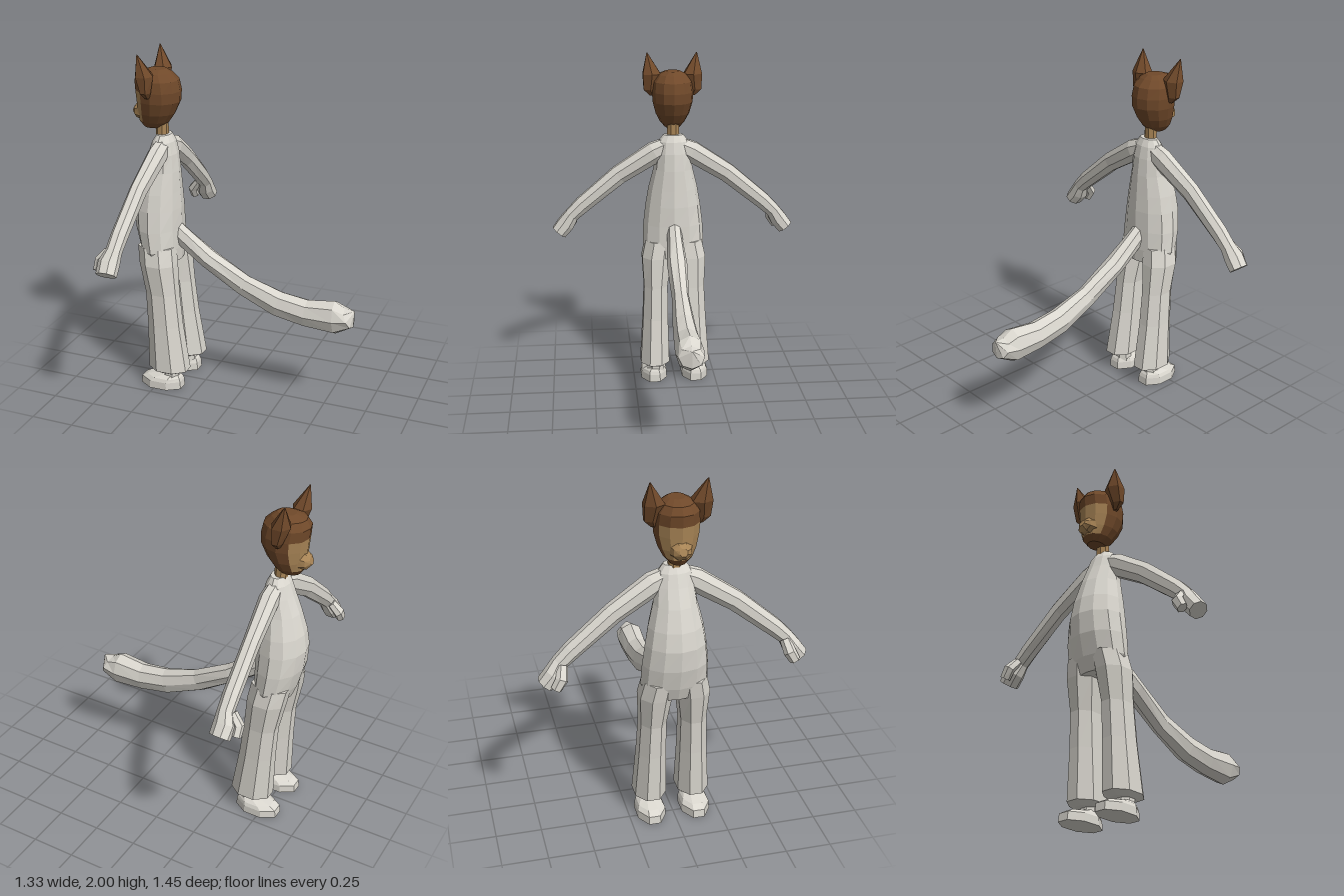
import * as THREE from 'three';

const mat = (name, color) => {
  const m = new THREE.MeshStandardMaterial({ color });
  m.name = name;
  return m;
};

// Points of one cross-section: centre plus two half-axes, flats or corners on the axes
function section(c, u, v, sides, flats) {
  const k = flats ? 1 / Math.cos(Math.PI / sides) : 1;
  return Array.from({ length: sides }, (_, i) => {
    const a = ((i + (flats ? 0.5 : 0)) / sides) * Math.PI * 2;
    return c.clone().addScaledVector(u, Math.cos(a) * k).addScaledVector(v, Math.sin(a) * k);
  });
}

// Level cross-sections from rows of [y, x front, x back, z inner, z outer]
const levels = (rows, sides, flats) => rows.map(([y, x0, x1, z0, z1]) => section(
  new THREE.Vector3((x0 + x1) / 2, y, (z0 + z1) / 2),
  new THREE.Vector3((x1 - x0) / 2, 0, 0),
  new THREE.Vector3(0, 0, (z1 - z0) / 2), sides, flats));

// Cross-sections square to a path, rows of [x, y, z, radius along side, other radius]
function along(rows, side, sides, flats) {
  const pts = rows.map(r => new THREE.Vector3(r[0], r[1], r[2]));
  return rows.map((r, i) => {
    const t = pts[Math.min(i + 1, pts.length - 1)].clone().sub(pts[Math.max(i - 1, 0)]).normalize();
    const u = side.clone().addScaledVector(t, -side.dot(t)).normalize();
    const v = u.clone().cross(t);
    return section(pts[i], u.multiplyScalar(r[3]), v.multiplyScalar(r[4]), sides, flats);
  });
}

// Faceted, capped skin over cross-sections; pick(centre) chooses the material of a face
function skin(name, rings, materials, mirror = false, pick = () => 0) {
  if (mirror) rings = rings.map(r => r.map(p => new THREE.Vector3(p.x, p.y, -p.z)).reverse());
  const faces = materials.map(() => []);
  const tri = (f, a, b, c) => [a, b, c].forEach(p => faces[f].push(p.x, p.y, p.z));
  const n = rings[0].length;
  const middle = r => r.reduce((s, p) => s.add(p), new THREE.Vector3()).divideScalar(r.length);
  for (let j = 0; j < rings.length - 1; j++) {
    for (let i = 0; i < n; i++) {
      const k = (i + 1) % n, p = rings[j], q = rings[j + 1];
      const f = pick(middle([p[i], p[k], q[i], q[k]]));
      tri(f, p[i], q[i], p[k]);
      tri(f, q[i], q[k], p[k]);
    }
  }
  const first = rings[0], last = rings[rings.length - 1];
  for (let i = 0; i < n; i++) {
    const k = (i + 1) % n;
    tri(0, middle(first), first[i], first[k]);
    tri(0, middle(last), last[k], last[i]);
  }
  const g = new THREE.BufferGeometry();
  g.setAttribute('position', new THREE.Float32BufferAttribute(faces.flat(), 3));
  let start = 0;
  faces.forEach((f, i) => { g.addGroup(start, f.length / 3, i); start += f.length / 3; });
  g.computeVertexNormals();
  const mesh = new THREE.Mesh(g, materials.length > 1 ? materials : materials[0]);
  mesh.name = name;
  return mesh;
}

export function createModel() {
  const model = new THREE.Group();
  model.name = 'tailedFigure';
  const suit = mat('pale suit', 0xdad7cf);
  const fur = mat('brown fur', 0x70492a);
  const tan = mat('tan skin', 0xa98556);
  const X = new THREE.Vector3(1, 0, 0), Z = new THREE.Vector3(0, 0, 1);

  // Torso with a rounded belly
  const torso = [
    [0.78, -0.59, -0.39, 0.15], [0.86, -0.62, -0.385, 0.185], [0.98, -0.65, -0.385, 0.18],
    [1.1, -0.66, -0.385, 0.165], [1.2, -0.645, -0.39, 0.148], [1.32, -0.61, -0.395, 0.118],
    [1.42, -0.57, -0.405, 0.105], [1.49, -0.545, -0.42, 0.09], [1.53, -0.52, -0.44, 0.06],
  ].map(([y, f, b, z]) => [y, f, b, -z, z]);
  model.add(skin('torso', levels(torso, 12, false), [suit]));

  // Neck
  model.add(skin('neck', levels([[1.5, -0.525, -0.46, -0.036, 0.036],
    [1.62, -0.525, -0.46, -0.034, 0.034]], 8, true), [tan]));

  // Head, with the face set into the fur
  const head = [
    [1.565, -0.6, -0.485, 0.045], [1.6, -0.625, -0.45, 0.075], [1.65, -0.63, -0.415, 0.1],
    [1.72, -0.635, -0.382, 0.118], [1.78, -0.64, -0.378, 0.122], [1.84, -0.645, -0.39, 0.115],
    [1.88, -0.62, -0.43, 0.085], [1.9, -0.56, -0.46, 0.045],
  ].map(([y, f, b, z]) => [y, f, b, -z, z]);
  model.add(skin('head', levels(head, 12, false), [fur, tan], false,
    c => (c.x < -0.575 && c.y > 1.6 && c.y < 1.8 ? 1 : 0)));

  // Muzzle
  model.add(skin('muzzle', along([[-0.6, 1.655, 0, 0.06, 0.055], [-0.64, 1.652, 0, 0.045, 0.04],
    [-0.66, 1.658, 0, 0.02, 0.02]], Z, 8, true), [tan]));

  // Tail
  model.add(skin('tail', along([
    [-0.43, 0.96, 0, 0.045, 0.06], [-0.36, 0.905, 0, 0.048, 0.06], [-0.22, 0.805, 0, 0.06, 0.058],
    [0, 0.672, 0, 0.05, 0.068], [0.21, 0.59, 0, 0.064, 0.08], [0.38, 0.562, 0, 0.072, 0.083],
    [0.55, 0.565, 0, 0.08, 0.1], [0.63, 0.575, 0, 0.07, 0.06], [0.66, 0.62, 0, 0.004, 0.004],
  ], Z, 8, false), [suit]));

  // Paired parts
  for (const [side, mirror] of [['left', false], ['right', true]]) {
    const add = (part, rings, material) => model.add(skin(side + part, rings, [material], mirror));

    // Trouser leg flaring to the hem
    add('Leg', levels([
      [0.1, -0.5, -0.35, 0.065, 0.18], [0.12, -0.545, -0.31, 0.035, 0.21],
      [0.4, -0.55, -0.352, 0.04, 0.192], [0.6, -0.56, -0.372, 0.04, 0.183],
      [0.78, -0.595, -0.385, 0.015, 0.192], [0.88, -0.61, -0.4, 0.005, 0.17],
    ], 8, true), suit);

    // Ankle and shoe
    add('Ankle', levels([[0.05, -0.47, -0.365, 0.065, 0.175],
      [0.11, -0.46, -0.365, 0.07, 0.17]], 8, true), suit);
    add('Shoe', levels([[0, -0.6, -0.345, 0.048, 0.206], [0.045, -0.595, -0.348, 0.05, 0.204],
      [0.065, -0.56, -0.355, 0.06, 0.195], [0.085, -0.48, -0.37, 0.08, 0.17]], 8, true), suit);

    // Arm widening into the hand
    add('Arm', along([
      [-0.48, 1.46, 0.04, 0.045, 0.05], [-0.48, 1.425, 0.11, 0.05, 0.062],
      [-0.495, 1.288, 0.325, 0.042, 0.055], [-0.503, 1.107, 0.545, 0.043, 0.048],
      [-0.505, 1.045, 0.61, 0.042, 0.042], [-0.518, 0.99, 0.645, 0.056, 0.05],
      [-0.515, 0.935, 0.69, 0.054, 0.046],
    ], X, 8, true), suit);
    add('Thumb', along([[-0.54, 1.04, 0.6, 0.022, 0.025], [-0.585, 0.985, 0.615, 0.026, 0.03],
      [-0.585, 0.935, 0.645, 0.024, 0.026]], X, 6, true), suit);

    // Pointed ear
    add('Ear', levels([
      [1.755, -0.535, -0.51, 0.1, 0.135], [1.79, -0.555, -0.495, 0.085, 0.175],
      [1.88, -0.59, -0.482, 0.06, 0.182], [2, -0.565, -0.56, 0.143, 0.149],
    ], 6, false), fur);
  }
  return model;
}
